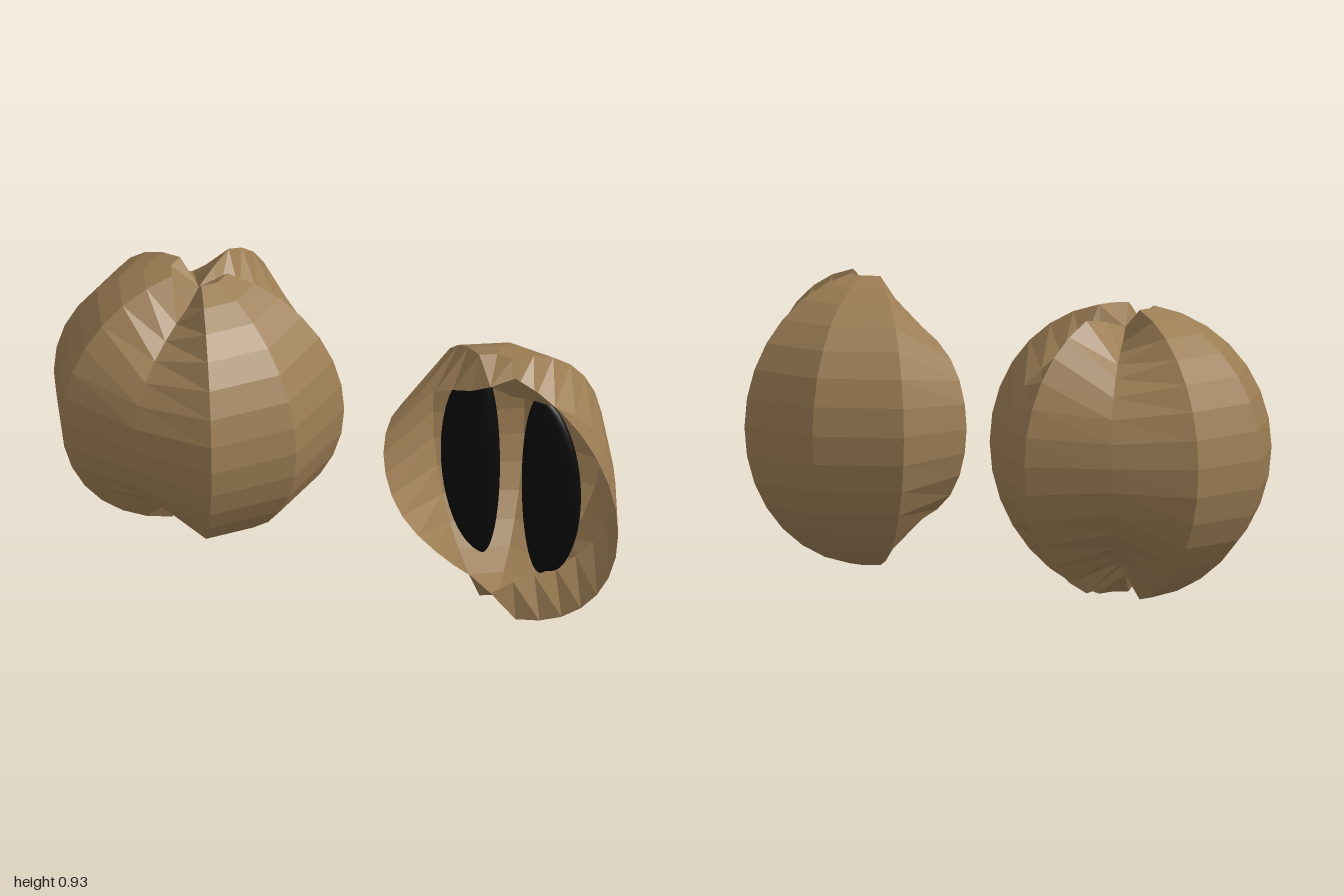
import * as THREE from 'three';

const R = 0.474, MID = 0.465, ROWS = 16, Z0 = 0.035;
const POLE_DIP = 0.84;
const rind = new THREE.MeshStandardMaterial({ color: 0x9c7d54, flatShading: true, side: THREE.DoubleSide });
const dark = new THREE.MeshStandardMaterial({ color: 0x0a0a0a });

// how far a groove is pulled towards the centre, deepening at the poles
const grooveScale = (lat) => THREE.MathUtils.lerp(0.84, 0.77, THREE.MathUtils.smoothstep(Math.abs(lat), 25, 68));

// ribbed shell from meridians: kind is 'ridge', 'groove' or 'lowRidge' (dips beside the pole)
function ribbedShell(meridians, closed) {
  const pos = [], index = [];
  for (const [deg, kind] of meridians) {
    const a = THREE.MathUtils.degToRad(deg);
    for (let j = 0; j <= ROWS; j++) {
      const lat = -90 + (180 * j) / ROWS;
      const t = THREE.MathUtils.degToRad(lat);
      let s = R;
      if (j === 0 || j === ROWS) s *= POLE_DIP;
      else if (kind === 'groove') s *= grooveScale(lat);
      else if (kind === 'lowRidge' && (j === 1 || j === ROWS - 1)) s *= 0.91;
      const r = s * Math.cos(t);
      pos.push(r * Math.cos(a), MID + s * Math.sin(t), -r * Math.sin(a));
    }
  }
  const n = meridians.length, w = ROWS + 1;
  for (let i = 0; i < (closed ? n : n - 1); i++) {
    const p = i * w, q = ((i + 1) % n) * w;
    for (let j = 0; j < ROWS; j++) {
      if (j > 0) index.push(p + j, q + j, p + j + 1);
      if (j < ROWS - 1) index.push(q + j, q + j + 1, p + j + 1);
    }
  }
  const g = new THREE.BufferGeometry();
  g.setAttribute('position', new THREE.Float32BufferAttribute(pos, 3));
  g.setIndex(index);
  const flat = g.toNonIndexed();
  flat.computeVertexNormals();
  return flat;
}

// oval seed, nearly straight on its inner side
function seed(side, height) {
  const g = new THREE.SphereGeometry(1, 32, 24);
  const p = g.attributes.position;
  for (let i = 0; i < p.count; i++) {
    const x = p.getX(i);
    p.setXYZ(i, side * x * (x > 0 ? 0.15 : 0.06), p.getY(i) * height, p.getZ(i) * 0.05);
  }
  // mirroring reverses the winding, so swap it back
  if (side < 0) {
    const ix = g.index;
    for (let i = 0; i < ix.count; i += 3) {
      const b = ix.getX(i + 1);
      ix.setX(i + 1, ix.getX(i + 2));
      ix.setX(i + 2, b);
    }
  }
  g.computeVertexNormals();
  return new THREE.Mesh(g, dark);
}

export function createModel() {
  const model = new THREE.Group();
  model.name = 'fruitPair';

  // whole fruit: ten meridians, three of them sunken
  const grooves = [-90, 54, 126];
  const around = [];
  for (let d = -90; d < 270; d += 36) {
    around.push([d, grooves.includes(d) ? 'groove' : d === 90 ? 'lowRidge' : 'ridge']);
  }
  const whole = new THREE.Mesh(ribbedShell(around, true), rind);
  whole.name = 'wholeFruit';
  whole.position.set(-0.553, 0, Z0);
  model.add(whole);

  // cut half, open to the front
  const half = new THREE.Group();
  half.name = 'halfFruit';
  const behind = [];
  for (let d = 0; d <= 180; d += 36) behind.push([d, d === 36 || d === 180 ? 'groove' : 'ridge']);
  const shell = new THREE.Mesh(ribbedShell(behind, false), rind);
  shell.name = 'halfShell';
  shell.position.set(0.53, 0, Z0);
  half.add(shell);

  // seeds inside the half
  const rightSeed = seed(-1, 0.35);
  rightSeed.name = 'rightSeed';
  rightSeed.position.set(0.41, 0.45, -0.11);
  const leftSeed = seed(1, 0.338);
  leftSeed.name = 'leftSeed';
  leftSeed.position.set(0.64, 0.455, -0.085);
  half.add(rightSeed, leftSeed);
  model.add(half);

  return model;
}
